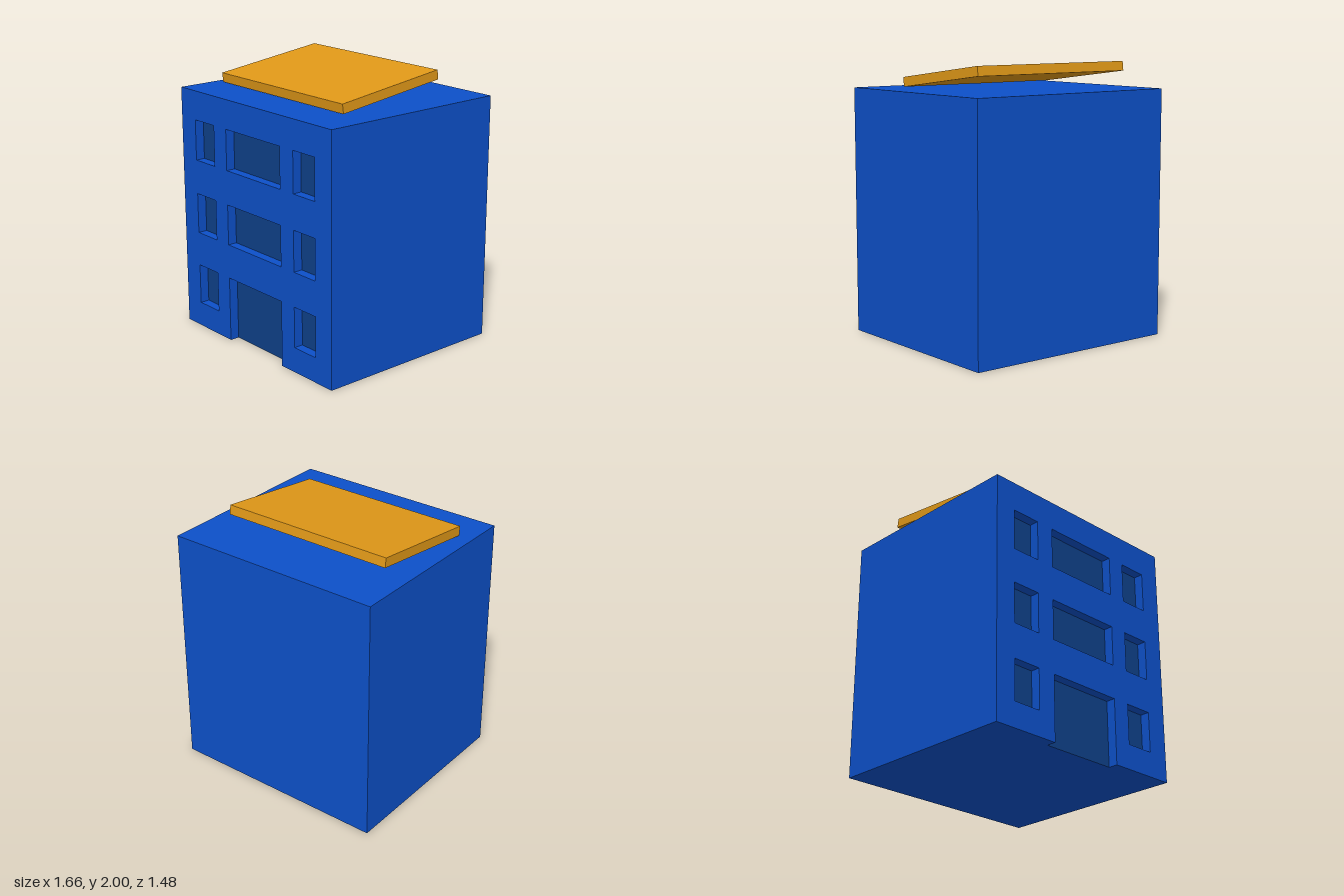
import * as THREE from 'three';
import { mergeGeometries } from 'three/addons/utils/BufferGeometryUtils.js';

const W = 1.66, H = 1.81, D = 1.48, RECESS = 0.07;
const FRONT = D / 2, PANE = FRONT - RECESS, Q = Math.PI / 2;

// Flat rectangle, turned and placed
function wall(w, h, rx, ry, x, y, z) {
  return new THREE.PlaneGeometry(w, h).rotateX(rx).rotateY(ry).translate(x, y, z);
}

function polygon(points) {
  return new THREE.Shape(points.map(([x, y]) => new THREE.Vector2(x, y)));
}

export function createModel() {
  const model = new THREE.Group();
  const blue = new THREE.MeshStandardMaterial({ color: 0x0d50c8 });
  const dark = new THREE.MeshStandardMaterial({ color: 0x0e4088 });
  const orange = new THREE.MeshStandardMaterial({ color: 0xe09818 });

  const add = (name, geometry, material) => {
    const mesh = new THREE.Mesh(geometry, material);
    mesh.name = name;
    model.add(mesh);
    return mesh;
  };

  // Openings: three rows of windows, with a door in the middle of the ground floor
  const openings = [];
  for (const [row, y0] of [0.185, 0.74, 1.295].entries()) {
    const y1 = y0 + 0.3;
    openings.push({ name: 'sideWindow', x0: -0.667, x1: -0.443, y0, y1 });
    openings.push({ name: 'sideWindow', x0: 0.44, x1: 0.663, y0, y1 });
    openings.push({
      name: row ? 'middleWindow' : 'door', x0: -0.3, x1: 0.3, y0: row ? y0 : 0, y1,
    });
  }

  // Facade, with the door as a notch and the windows as holes
  const facade = polygon([
    [-W / 2, 0], [-0.3, 0], [-0.3, 0.485], [0.3, 0.485], [0.3, 0],
    [W / 2, 0], [W / 2, H], [-W / 2, H],
  ]);
  // Floor, notched at the doorway
  const floor = polygon([
    [-W / 2, -FRONT], [W / 2, -FRONT], [W / 2, FRONT], [0.3, FRONT],
    [0.3, PANE], [-0.3, PANE], [-0.3, FRONT], [-W / 2, FRONT],
  ]);

  const shell = [
    wall(W, H, 0, Math.PI, 0, H / 2, -FRONT),
    wall(D, H, 0, Q, W / 2, H / 2, 0),
    wall(D, H, 0, -Q, -W / 2, H / 2, 0),
    wall(W, D, -Q, 0, 0, H, 0),
  ];

  for (const { name, x0, x1, y0, y1 } of openings) {
    const w = x1 - x0, h = y1 - y0, cx = (x0 + x1) / 2, cy = (y0 + y1) / 2;
    const cz = FRONT - RECESS / 2;
    // Reveals around the opening
    shell.push(
      wall(RECESS, h, 0, Q, x0, cy, cz),
      wall(RECESS, h, 0, -Q, x1, cy, cz),
      wall(w, RECESS, Q, 0, cx, y1, cz),
    );
    if (name !== 'door') {
      shell.push(wall(w, RECESS, -Q, 0, cx, y0, cz));
      facade.holes.push(polygon([[x0, y0], [x0, y1], [x1, y1], [x1, y0]]));
    }
    // Set-back pane
    add(name, wall(w, h, 0, 0, cx, cy, PANE), dark);
  }

  shell.push(new THREE.ShapeGeometry(facade).translate(0, 0, FRONT));
  shell.push(new THREE.ShapeGeometry(floor).rotateX(Q));
  add('building', mergeGeometries(shell), blue);

  // Tilted roof panel, higher at the back
  const panel = add('roofPanel', new THREE.BoxGeometry(1.33, 0.07, 0.888), orange);
  panel.position.set(-0.065, 1.91, 0);
  panel.rotation.x = 0.124;

  return model;
}
